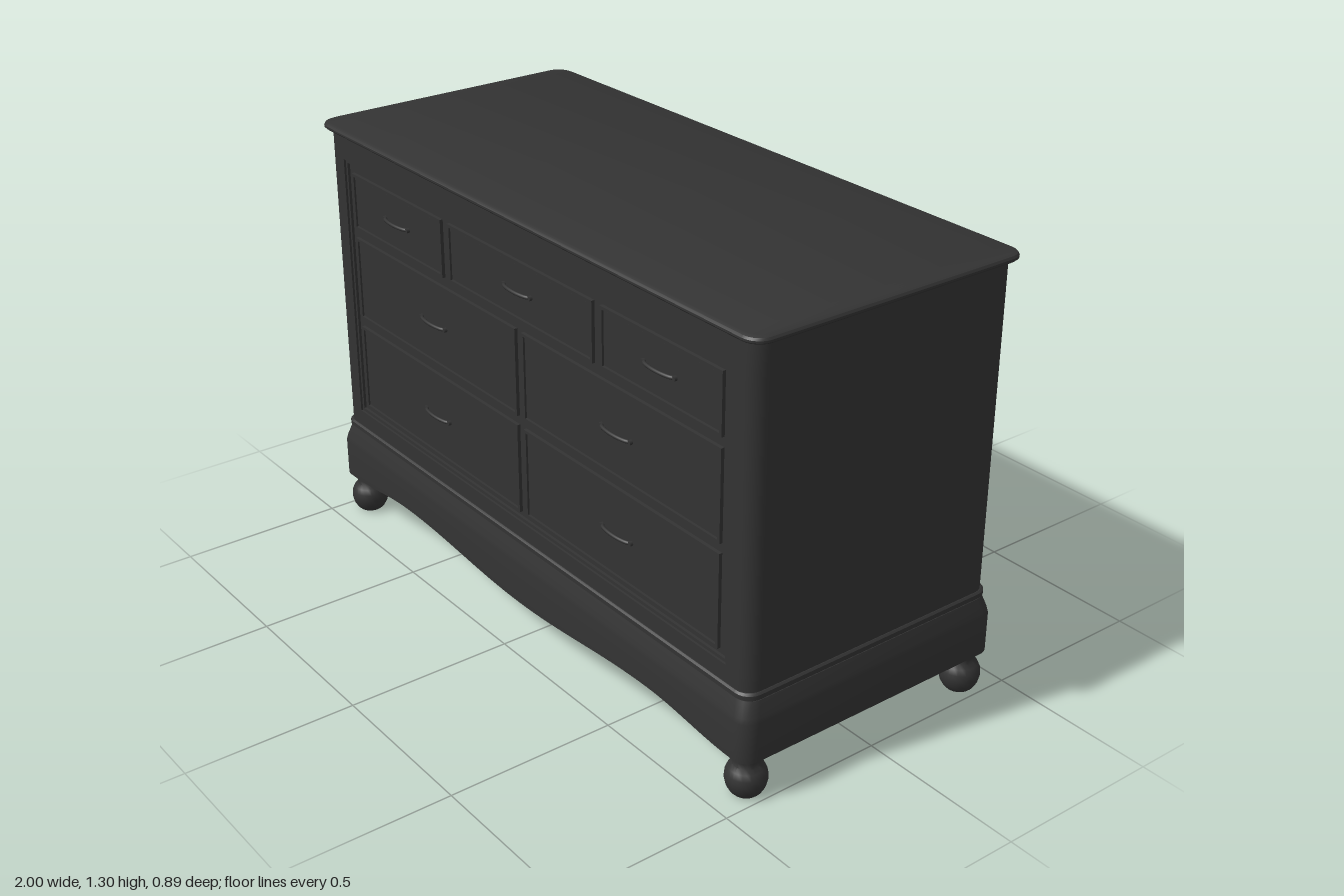
import * as THREE from 'three';
import { toCreasedNormals } from 'three/addons/utils/BufferGeometryUtils.js';

const wood = new THREE.MeshStandardMaterial({ color: 0x333333 });
wood.name = 'dark wood';

const RECESS = 0.411; // z of the sunken front panel

function add(parent, name, geometry, x = 0, y = 0, z = 0) {
  const mesh = new THREE.Mesh(geometry, wood);
  mesh.name = name;
  mesh.position.set(x, y, z);
  parent.add(mesh);
  return mesh;
}

// Front half of a rounded rectangle, running from -x to +x
function halfLoop(hx, hz, r, steps) {
  const pts = [];
  for (let i = 0; i <= 6; i++) {
    const a = Math.PI - (i / 6) * Math.PI / 2;
    pts.push([-hx + r + r * Math.cos(a), hz - r + r * Math.sin(a)]);
  }
  for (let i = 1; i < steps; i++) pts.push([(hx - r) * (2 * i / steps - 1), hz]);
  for (let i = 0; i <= 6; i++) {
    const a = Math.PI / 2 * (1 - i / 6);
    pts.push([hx - r + r * Math.cos(a), hz - r + r * Math.sin(a)]);
  }
  return pts;
}

// Stack of rounded rectangles [y or y(x), halfX, halfZ, radius], closed at both ends
function loft(levels, steps = 1) {
  const pos = [], idx = [];
  let half = 0;
  for (const [y, hx, hz, r] of levels) {
    const front = halfLoop(hx, hz, r, steps);
    half = front.length;
    const back = front.map(([x, z]) => [x, -z]).reverse();
    for (const [x, z] of [...front, ...back]) pos.push(x, typeof y === 'function' ? y(x) : y, z);
  }
  const n = half * 2, top = (levels.length - 1) * n;
  for (let l = 0; l < levels.length - 1; l++) {
    for (let i = 0; i < n; i++) {
      const a = l * n + i, b = l * n + (i + 1) % n;
      idx.push(a, b, b + n, a, b + n, a + n);
    }
  }
  for (let i = 0; i < half - 1; i++) {
    const p = i, q = i + 1, qm = n - 2 - i, pm = n - 1 - i;
    idx.push(top + p, top + q, top + qm, top + p, top + qm, top + pm);
    idx.push(p, qm, q, p, pm, qm);
  }
  const g = new THREE.BufferGeometry();
  g.setAttribute('position', new THREE.Float32BufferAttribute(pos, 3));
  g.setIndex(idx);
  return toCreasedNormals(g, 0.45);
}

// Carcass slice with a shallow notch across the front
function notchedSlice(height) {
  const pts = halfLoop(0.98, 0.425, 0.045, 1);
  const back = pts.map(([x, z]) => [x, -z]).reverse();
  const mid = pts.length / 2;
  const notch = [[-0.895, 0.425], [-0.893, RECESS], [0.893, RECESS], [0.895, 0.425]];
  const loop = [...pts.slice(0, mid), ...notch, ...pts.slice(mid), ...back];
  const shape = new THREE.Shape(loop.map(([x, z]) => new THREE.Vector2(x, -z)));
  const g = new THREE.ExtrudeGeometry(shape, { depth: height, bevelEnabled: false });
  g.rotateX(-Math.PI / 2);
  return toCreasedNormals(g, 0.45);
}

// Flat rectangular border
function border(w, h, t, depth) {
  const rect = (P, a, b) => new P([
    new THREE.Vector2(-a, -b), new THREE.Vector2(a, -b),
    new THREE.Vector2(a, b), new THREE.Vector2(-a, b)]);
  const shape = rect(THREE.Shape, w / 2, h / 2);
  shape.holes.push(rect(THREE.Path, w / 2 - t, h / 2 - t));
  return new THREE.ExtrudeGeometry(shape, { depth, bevelEnabled: false });
}

// Scalloped lower edge of the plinth
function wave(x) {
  const a = Math.abs(x), ease = t => (1 - Math.cos(Math.PI * t)) / 2;
  if (a < 0.6) return 0.12 + 0.035 * ease(a / 0.6);
  return 0.155 - 0.027 * ease(Math.min(1, (a - 0.6) / 0.35));
}

function makeDrawer(x0, x1, y0, y1) {
  const drawer = new THREE.Group();
  drawer.name = 'drawer';
  drawer.position.set((x0 + x1) / 2, (y0 + y1) / 2, RECESS);
  const w = x1 - x0, h = y1 - y0;
  add(drawer, 'drawerRim', border(w, h, 0.009, 0.01));
  add(drawer, 'drawerFace', new THREE.BoxGeometry(w - 0.024, h - 0.024, 0.012));
  // Bowed pull
  const curve = new THREE.CatmullRomCurve3([
    [-0.064, 0.004], [-0.055, 0.013], [-0.03, 0.019], [0, 0.021],
    [0.03, 0.019], [0.055, 0.013], [0.064, 0.004],
  ].map(([x, z]) => new THREE.Vector3(x, 0, z)));
  add(drawer, 'handle', new THREE.TubeGeometry(curve, 24, 0.0055, 8));
  for (const s of [-1, 1]) {
    const knob = add(drawer, 'handleMount', new THREE.CylinderGeometry(0.007, 0.007, 0.012, 12), s * 0.063, 0, 0.009);
    knob.rotation.x = Math.PI / 2;
  }
  return drawer;
}

export function createModel() {
  const model = new THREE.Group();
  model.name = 'dresser';

  // Carcass: solid rails below and above the recessed front
  add(model, 'lowerCarcass', loft([[0.29, 0.98, 0.425, 0.045], [0.375, 0.98, 0.425, 0.045]]));
  add(model, 'middleCarcass', notchedSlice(0.83), 0, 0.375, 0);
  add(model, 'upperCarcass', loft([[1.205, 0.98, 0.425, 0.045], [1.29, 0.98, 0.425, 0.045]]));
  add(model, 'frontMoulding', border(1.79, 0.83, 0.01, 0.008), 0, 0.79, RECESS);

  // Top board with rounded edge
  add(model, 'topBoard', loft([
    [1.28, 0.985, 0.43, 0.045], [1.284, 0.995, 0.44, 0.05], [1.289, 1, 0.445, 0.05],
    [1.295, 1, 0.445, 0.05], [1.301, 0.996, 0.441, 0.047], [1.305, 0.987, 0.432, 0.045],
  ]));

  // Moulding and plinth
  add(model, 'waistMoulding', loft([
    [0.302, 0.983, 0.428, 0.045], [0.306, 0.987, 0.432, 0.045],
    [0.319, 0.987, 0.432, 0.045], [0.324, 0.982, 0.427, 0.045],
  ]));
  add(model, 'plinth', loft([
    [wave, 1, 0.445, 0.045], [0.245, 1, 0.445, 0.045],
    [0.26, 0.997, 0.442, 0.045], [0.302, 0.985, 0.428, 0.045],
  ], 48));

  // Drawers, row by row
  const rows = [
    [0.995, 1.17, [[-0.86, -0.375], [-0.34, 0.338], [0.372, 0.857]]],
    [0.703, 0.966, [[-0.86, -0.017], [0.014, 0.857]]],
    [0.4, 0.675, [[-0.86, -0.017], [0.014, 0.857]]],
  ];
  for (const [y0, y1, spans] of rows) {
    for (const [x0, x1] of spans) model.add(makeDrawer(x0, x1, y0, y1));
  }

  // Bun feet
  const profile = [
    [0, 0], [0.036, 0], [0.044, 0.008], [0.053, 0.024], [0.058, 0.045], [0.056, 0.064],
    [0.049, 0.08], [0.039, 0.091], [0.038, 0.105], [0.041, 0.12], [0.042, 0.14],
  ].map(([r, y]) => new THREE.Vector2(r, y));
  const foot = toCreasedNormals(new THREE.LatheGeometry(profile, 28), 0.7);
  for (const sx of [-1, 1]) {
    for (const sz of [-1, 1]) add(model, 'foot', foot, sx * 0.941, 0, sz * 0.387);
  }
  return model;
}
